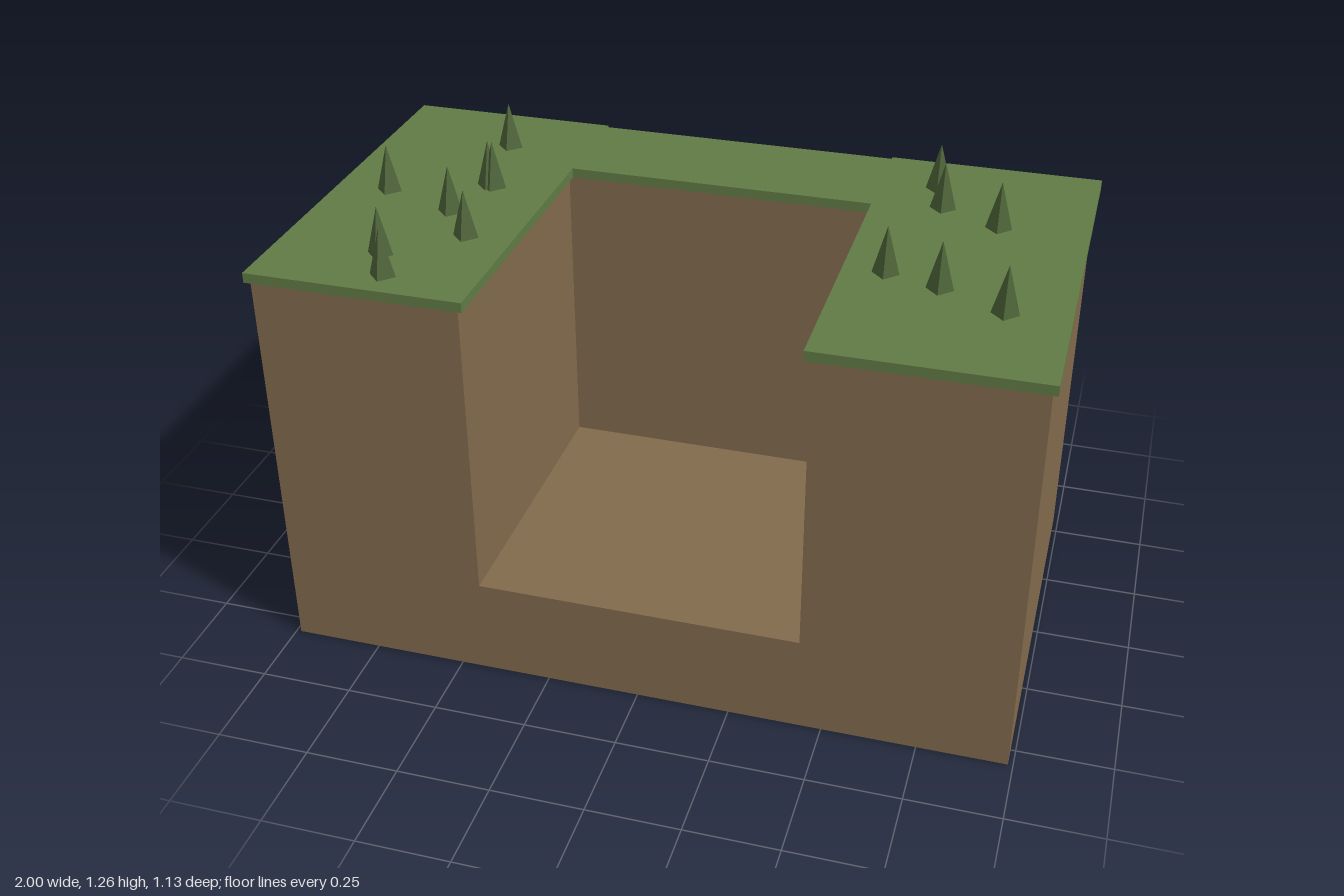
import * as THREE from 'three';

const TOP = 1.105;      // top of the earth
const GRASS = 1.132;    // top of the grass

export function createModel() {
  const group = new THREE.Group();
  group.name = 'cliffBlock';

  const earth = new THREE.MeshStandardMaterial({ color: 0x826a4d });
  earth.name = 'earth';
  const grass = new THREE.MeshStandardMaterial({ color: 0x607b44 });
  grass.name = 'grass';
  const blade = new THREE.MeshStandardMaterial({ color: 0x4d6338, flatShading: true });
  blade.name = 'darkGrass';

  const add = (name, geometry, material) => {
    const mesh = new THREE.Mesh(geometry, material);
    mesh.name = name;
    group.add(mesh);
    return mesh;
  };

  // Box given by its lower and upper corner
  const box = (name, material, [x0, y0, z0], [x1, y1, z1]) =>
    add(name, new THREE.BoxGeometry(x1 - x0, y1 - y0, z1 - z0), material)
      .position.set((x0 + x1) / 2, (y0 + y1) / 2, (z0 + z1) / 2);

  // Earth with a notch cut through from front to back
  const outline = new THREE.Shape([
    [-0.987, 0], [0.987, 0], [0.987, TOP], [0.435, TOP],
    [0.435, 0.273], [-0.435, 0.273], [-0.435, TOP], [-0.987, TOP],
  ].map(([x, y]) => new THREE.Vector2(x, y)));
  add('earthBody', new THREE.ExtrudeGeometry(outline, { depth: 1.112, bevelEnabled: false }), earth)
    .position.z = -0.556;

  // Wall closing the notch at the back
  box('backWall', earth, [-0.435, 0.273, -0.556], [0.435, TOP, -0.263]);

  // Grass slabs: two overhanging sides and a strip along the back wall
  box('grassLeft', grass, [0.42, TOP, -0.567], [1, GRASS, 0.567]);
  box('grassRight', grass, [-1, TOP, -0.567], [-0.42, GRASS, 0.567]);
  box('grassBack', grass, [-0.42, TOP, -0.556], [0.42, GRASS, -0.25]);

  // Four-sided grass tufts, placed as [x, z]
  const tufts = [
    [-0.64, -0.348], [-0.6, -0.083], [-0.586, -0.079], [-0.85, 0.017], [-0.64, 0.098],
    [-0.545, 0.226], [-0.715, 0.375], [-0.66, 0.484],
    [0.578, -0.392], [0.608, -0.273], [0.766, -0.191], [0.53, 0.137], [0.672, 0.184], [0.841, 0.267],
  ];
  const tuft = new THREE.ConeGeometry(0.035, 0.13, 4);
  tufts.forEach(([x, z], i) => {
    add(`grassTuft${i + 1}`, tuft, blade).position.set(x, GRASS + 0.065, z);
  });

  return group;
}
